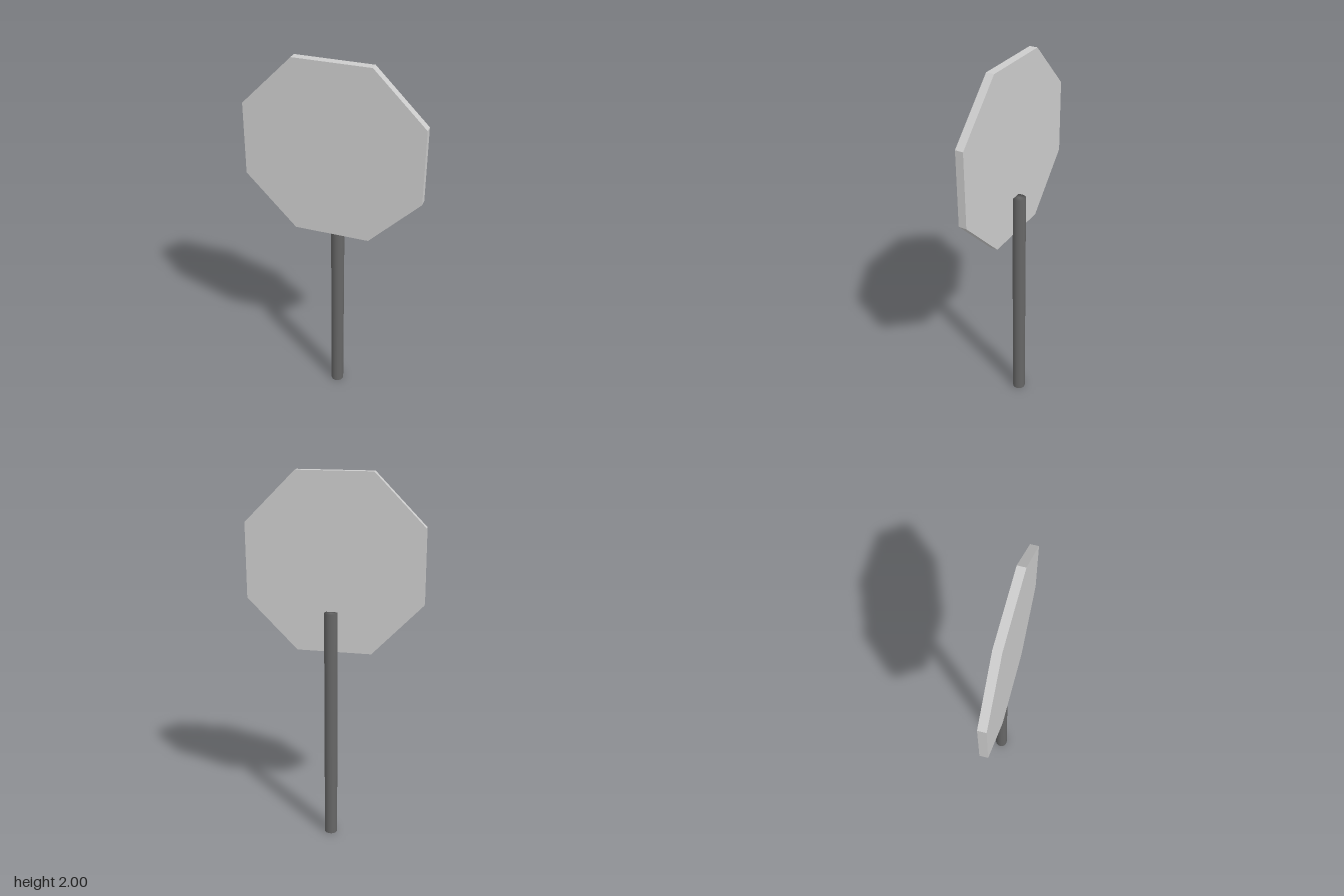
import * as THREE from 'three';
import { mergeVertices } from 'three/addons/utils/BufferGeometryUtils.js';

export function createModel() {
  const model = new THREE.Group();
  const plateGrey = new THREE.MeshStandardMaterial({ color: 0xcccccc });
  plateGrey.name = 'light grey';
  const postGrey = new THREE.MeshStandardMaterial({ color: 0x666666 });
  postGrey.name = 'dark grey';

  // Octagonal sign plate, slightly irregular at its corners
  const corners = [
    [-0.2, 1.07], [0.195, 1.07], [0.462, 1.34], [0.462, 1.735],
    [0.195, 2], [-0.2, 2], [-0.462, 1.735], [-0.465, 1.347],
  ];
  const outline = new THREE.Shape(corners.map(([x, y]) => new THREE.Vector2(x, y)));
  const plateGeometry = new THREE.ExtrudeGeometry(outline, { depth: 0.042, bevelEnabled: false });
  plateGeometry.translate(0, 0, 0.007);
  const plate = new THREE.Mesh(plateGeometry, plateGrey);
  plate.name = 'signPlate';
  model.add(plate);

  // Round post behind the plate, with normals shared across its caps
  const height = 1.287;
  let postGeometry = new THREE.CylinderGeometry(0.035, 0.035, height, 20);
  postGeometry.deleteAttribute('normal');
  postGeometry.deleteAttribute('uv');
  postGeometry = mergeVertices(postGeometry, 1e-4);
  postGeometry.computeVertexNormals();
  const post = new THREE.Mesh(postGeometry, postGrey);
  post.name = 'post';
  post.position.set(0.01, height / 2, -0.014);
  model.add(post);

  return model;
}
